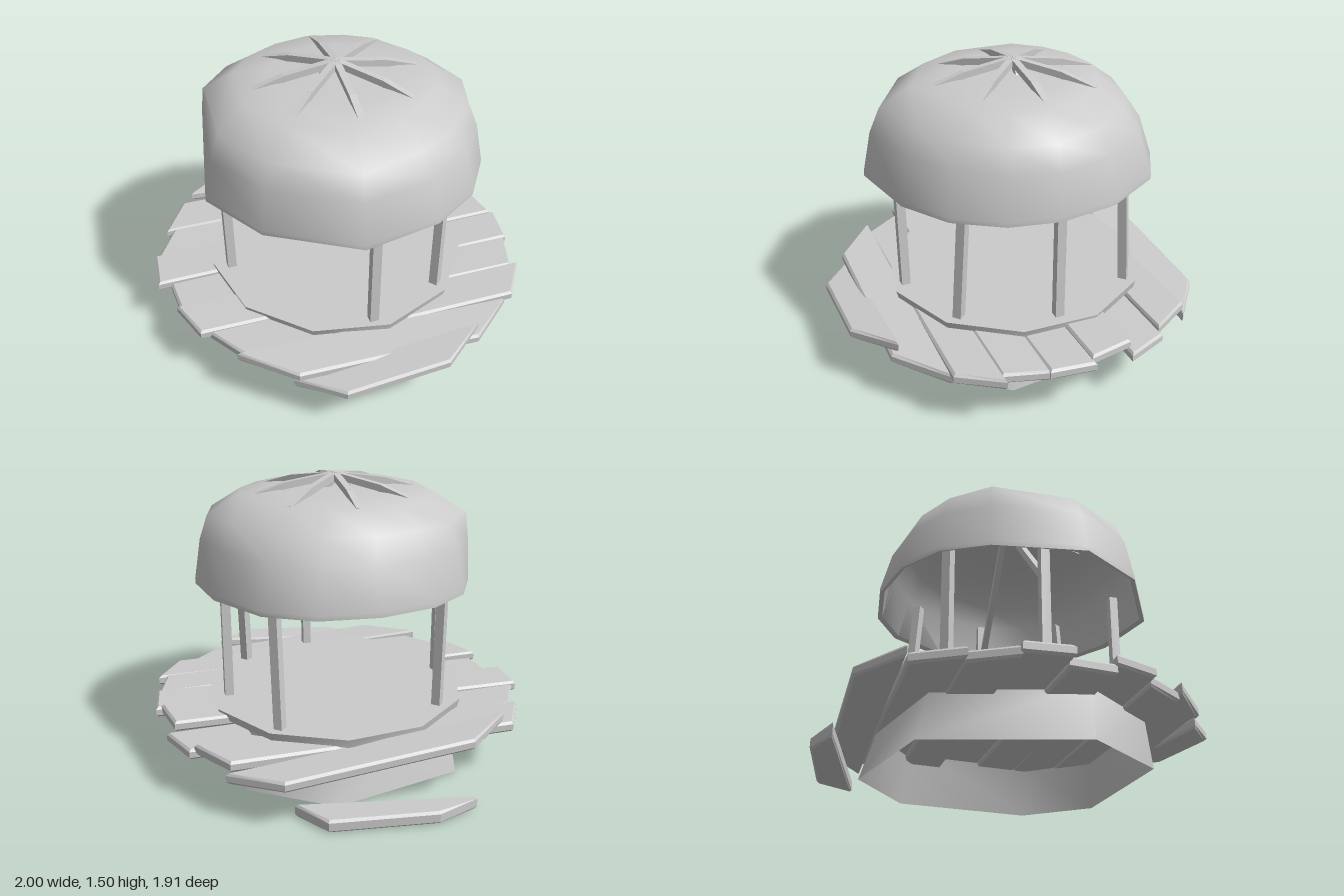
import * as THREE from 'three';
import { mergeVertices, toCreasedNormals } from 'three/addons/utils/BufferGeometryUtils.js';

const grey = new THREE.MeshStandardMaterial({ color: 0xcccccc });
const thin = new THREE.MeshStandardMaterial({ color: 0xcccccc, side: THREE.DoubleSide });

// Planks run along D and are counted off along N
const N = new THREE.Vector3(0.866, 0, 0.5);
const D = new THREE.Vector3(0.5, 0, -0.866);
const UP = new THREE.Vector3(0, 1, 0);

function add(parent, name, geometry, material = grey) {
  const mesh = new THREE.Mesh(geometry, material);
  mesh.name = name;
  parent.add(mesh);
  return mesh;
}

// Square beam between two points, one side turned towards "up"
function beam(parent, name, a, b, width, up = UP) {
  const from = new THREE.Vector3(...a), to = new THREE.Vector3(...b);
  const mesh = add(parent, name, new THREE.BoxGeometry(width, width, from.distanceTo(to)));
  mesh.position.copy(from).add(to).multiplyScalar(0.5);
  mesh.up.copy(up);
  mesh.lookAt(to);
  return mesh;
}

// Bevelled board cut from corners [n, t], sloping along its length
function plank(parent, name, corners, y, slope = 0, thickness = 0.055) {
  const shape = new THREE.Shape(corners.map(([n, t]) => new THREE.Vector2(n, t)));
  const bevel = 0.012;
  const geo = new THREE.ExtrudeGeometry(shape, {
    depth: thickness - 2 * bevel, bevelEnabled: true, bevelThickness: bevel,
    bevelSize: bevel, bevelOffset: -bevel + 0.005, bevelSegments: 1,
  });
  geo.translate(0, 0, bevel);
  geo.applyMatrix4(new THREE.Matrix4().makeBasis(N, D, UP));
  const p = geo.attributes.position;
  const v = new THREE.Vector3();
  for (let i = 0; i < p.count; i++) {
    v.fromBufferAttribute(p, i);
    p.setY(i, v.y + y + slope * v.dot(D));
  }
  geo.computeVertexNormals();
  return add(parent, name, geo);
}

// Open base wall with seven uneven sides, leaning in towards the top
function baseGeometry() {
  const azimuths = [-14, 29, 93, 126, 185, 224, 281];
  const geo = new THREE.CylinderGeometry(0.67, 0.73, 0.29, azimuths.length, 1, true);
  const p = geo.attributes.position;
  for (let i = 0; i < p.count; i++) {
    const a = THREE.MathUtils.degToRad(azimuths[i % (azimuths.length + 1) % azimuths.length]);
    const top = p.getY(i) > 0;
    const r = top ? 0.67 : 0.73, shift = top ? 0.02 : 0;
    p.setXYZ(i, r * Math.sin(a) + shift, top ? 0.3 : 0.01, r * Math.cos(a) + shift);
  }
  geo.deleteAttribute('normal');
  geo.deleteAttribute('uv');
  return toCreasedNormals(mergeVertices(geo, 1e-4), 1.2);
}

// Hollow roof shell: a lathe profile stretched onto an uneven outline
function roofGeometry() {
  // Rim x, z and how far the shoulder above it is drawn in
  const outline = [
    [0.2, 0.71, 0.88], [0.62, 0.47, 0.875], [0.75, 0.1, 0.84], [0.74, -0.18, 0.845], [0.62, -0.42, 0.88],
    [0.43, -0.59, 0.9], [0.15, -0.7, 0.835], [-0.19, -0.7, 0.79], [-0.42, -0.57, 0.785], [-0.6, -0.33, 0.83],
    [-0.69, -0.05, 0.845], [-0.67, 0.2, 0.885], [-0.54, 0.42, 0.96], [-0.18, 0.72, 0.87],
  ];
  // Scale, height, and blend from rim (0) to shoulder (1)
  const profile = [
    [0, 1.4, 1], [0.48, 1.395, 1], [0.72, 1.37, 1], [0.955, 1.28, 1], [0.965, 1.17, 0.45],
    [0.965, 0.96, 0], [1, 0.95, 0], [1, 0.975, 0],
    [1, 1.18, 0.45], [1, 1.3, 1], [0.76, 1.4, 1], [0.5, 1.42, 1], [0, 1.425, 1],
  ];
  const geo = new THREE.LatheGeometry(profile.map(([r, y]) => new THREE.Vector2(r, y)), outline.length);
  const p = geo.attributes.position;
  for (let i = 0; i < p.count; i++) {
    const [x, z, drawn] = outline[Math.floor(i / profile.length) % outline.length];
    const [scale, y, blend] = profile[i % profile.length];
    const r = scale * THREE.MathUtils.lerp(1, drawn, blend);
    p.setXYZ(i, x * r, y, z * r);
  }
  geo.deleteAttribute('normal');
  geo.deleteAttribute('uv');
  return toCreasedNormals(mergeVertices(geo, 1e-4), 0.9);
}

export function createModel() {
  const model = new THREE.Group();
  model.name = 'pavilion';

  // Base and raised floor
  add(model, 'baseWall', baseGeometry(), thin);
  const floor = add(model, 'floor', toCreasedNormals(new THREE.CylinderGeometry(0.69, 0.68, 0.045, 11), 0.8));
  floor.position.set(0.01, 0.318, 0);

  // Deck boards: n0, n1, near ends, far ends, height, slope
  const deck = new THREE.Group();
  deck.name = 'deck';
  model.add(deck);
  const boards = [
    [-0.83, -0.64, -0.44, -0.68, 0.49, 0.72, 0.25, -0.085],
    [-0.64, -0.42, -0.74, -0.87, 0.7, 0.83, 0.245, 0],
    [-0.42, -0.21, -0.83, -0.95, 0.86, 0.94, 0.23, -0.012],
    [-0.21, 0.01, -0.97, -0.985, 0.9, 0.94, 0.265, 0.01],
    [0.01, 0.226, -0.92, -0.9, 0.97, 0.94, 0.245, 0.015],
    [0.226, 0.437, -0.92, -0.84, 0.93, 0.866, 0.26, -0.01],
    [0.437, 0.64, -0.79, -0.65, 0.91, 0.776, 0.25, 0],
    [0.64, 0.85, -0.695, -0.445, 0.737, 0.49, 0.25, -0.042],
    [0.82, 0.99, -0.46, -0.25, 0.49, 0.27, 0.247, 0.085],
  ];
  for (const [n0, n1, a0, a1, b0, b1, y, slope] of boards) {
    plank(deck, 'deckBoard', [[n0, a0], [n1, a1], [n1, b1], [n0, b0]], y, slope);
  }

  // Board lying on the ground
  plank(model, 'fallenBoard', [[-0.9, -0.43], [-0.71, 0.41], [-0.89, 0.3], [-0.97, -0.215]], 0.004, -0.008, 0.065);

  // Posts: foot x, z and top x, z
  const posts = [
    [-0.18, -0.59, -0.13, -0.57], [0.31, -0.5, 0.31, -0.5], [0.615, -0.11, 0.59, -0.155],
    [0.545, 0.31, 0.55, 0.31], [-0.28, 0.52, -0.28, 0.52], [-0.565, 0.16, -0.575, 0.16],
  ];
  posts.forEach(([x0, z0, x1, z1], i) => {
    beam(model, 'post', [x0, 0.32, z0], [x1, 1.12, z1], 0.046, new THREE.Vector3(x0, 0, z0));
    // Two opposite posts carry a long brace rising to the peak
    if (i === 1 || i === 4) beam(model, 'brace', [x0, 0.84, z0], [0, 1.48, 0], 0.032);
  });

  // Roof shell with bent ribs breaking through its crown
  add(model, 'roof', roofGeometry());
  const ribs = new THREE.Group();
  ribs.name = 'roofRibs';
  model.add(ribs);
  for (let i = 0; i < 8; i++) {
    const a = THREE.MathUtils.degToRad(-104 + i * 45);
    const at = (r, y) => [0.01 + r * Math.cos(a), y, r * Math.sin(a)];
    beam(ribs, 'rib', at(0, 1.48), at(0.26, 1.44), 0.034);
    beam(ribs, 'ribEnd', at(0.255, 1.441), at(0.43, 1.385), 0.034);
  }
  return model;
}
